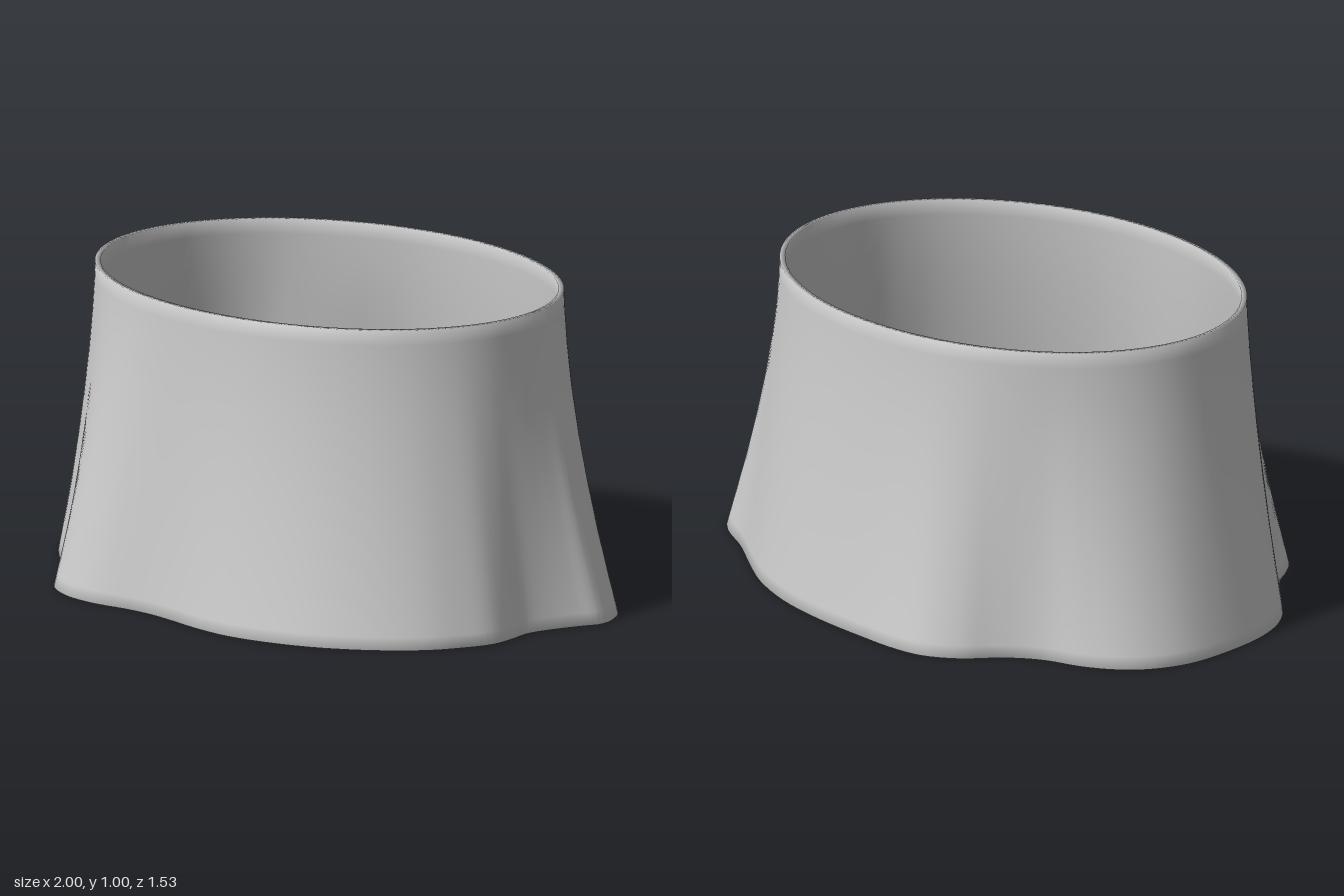
import * as THREE from 'three';

// Hem outline as x, z pairs, running from +x towards -z
const HEM = [
  1, -0.07, 0.98, -0.17, 0.92, -0.25, 0.8, -0.34, 0.68, -0.45, 0.56, -0.55, 0.4, -0.64, 0.22, -0.7,
  0, -0.745, -0.14, -0.765, -0.25, -0.76, -0.36, -0.71, -0.44, -0.64, -0.51, -0.59, -0.59, -0.555,
  -0.71, -0.53, -0.82, -0.48, -0.9, -0.41, -0.96, -0.31, -0.99, -0.18, -1, 0, -0.98, 0.12,
  -0.94, 0.21, -0.88, 0.29, -0.8, 0.38, -0.74, 0.46, -0.71, 0.53, -0.66, 0.61, -0.57, 0.67,
  -0.45, 0.695, -0.32, 0.69, -0.22, 0.695, -0.1, 0.72, 0, 0.745, 0.14, 0.762, 0.3, 0.745,
  0.46, 0.7, 0.62, 0.62, 0.75, 0.52, 0.82, 0.43, 0.87, 0.34, 0.88, 0.25, 0.88, 0.17, 0.91, 0.09, 0.96, 0,
];
const WAIST = { x: -0.02, z: 0.01, rx: 0.805, rz: 0.615 };
const HEIGHTS = [0, 0.04, 0.12, 0.25, 0.4, 0.55, 0.7, 0.83, 0.95, 1];
const SEGMENTS = 180;
const THICKNESS = 0.018;

// One horizontal ring, blending the wavy hem into the oval waist
function ring(hem, y, inset) {
  const flare = Math.pow(1 - y, 1.4);
  const outline = hem.map((p) => {
    const a = Math.atan2((p.z - WAIST.z) / WAIST.rz, (p.x - WAIST.x) / WAIST.rx);
    const top = new THREE.Vector3(WAIST.x + WAIST.rx * Math.cos(a), y, WAIST.z + WAIST.rz * Math.sin(a));
    return top.lerp(new THREE.Vector3(p.x, y, p.z), flare);
  });
  return outline.map((p, i) => {
    const before = outline[(i + SEGMENTS - 1) % SEGMENTS];
    const after = outline[(i + 1) % SEGMENTS];
    const t = after.clone().sub(before).normalize();
    return new THREE.Vector3(p.x + t.z * inset, y, p.z - t.x * inset);
  });
}

function skirtGeometry() {
  const points = [];
  for (let i = 0; i < HEM.length; i += 2) points.push(new THREE.Vector3(HEM[i], 0, HEM[i + 1]));
  const hem = new THREE.CatmullRomCurve3(points, true, 'centripetal').getPoints(SEGMENTS).slice(0, SEGMENTS);

  // Up the outside, over the waistband, down the lining and back to the hem
  const rings = [
    ...HEIGHTS.map((y) => ring(hem, y, 0)),
    ...[...HEIGHTS].reverse().map((y) => ring(hem, y, THICKNESS)),
  ];
  const positions = rings.flat().flatMap((p) => [p.x, p.y, p.z]);
  const index = [];
  for (let r = 0; r < rings.length; r++) {
    const next = (r + 1) % rings.length;
    for (let i = 0; i < SEGMENTS; i++) {
      const j = (i + 1) % SEGMENTS;
      const a = r * SEGMENTS + i, b = r * SEGMENTS + j;
      const c = next * SEGMENTS + i, d = next * SEGMENTS + j;
      index.push(a, b, d, a, d, c);
    }
  }
  const geometry = new THREE.BufferGeometry();
  geometry.setAttribute('position', new THREE.Float32BufferAttribute(positions, 3));
  geometry.setIndex(index);
  geometry.computeVertexNormals();
  return geometry;
}

export function createModel() {
  const group = new THREE.Group();
  group.name = 'skirt';
  const cloth = new THREE.MeshStandardMaterial({ color: 0xcccccc });
  cloth.name = 'light grey cloth';
  const skirt = new THREE.Mesh(skirtGeometry(), cloth);
  skirt.name = 'flaredSkirt';
  group.add(skirt);
  return group;
}
